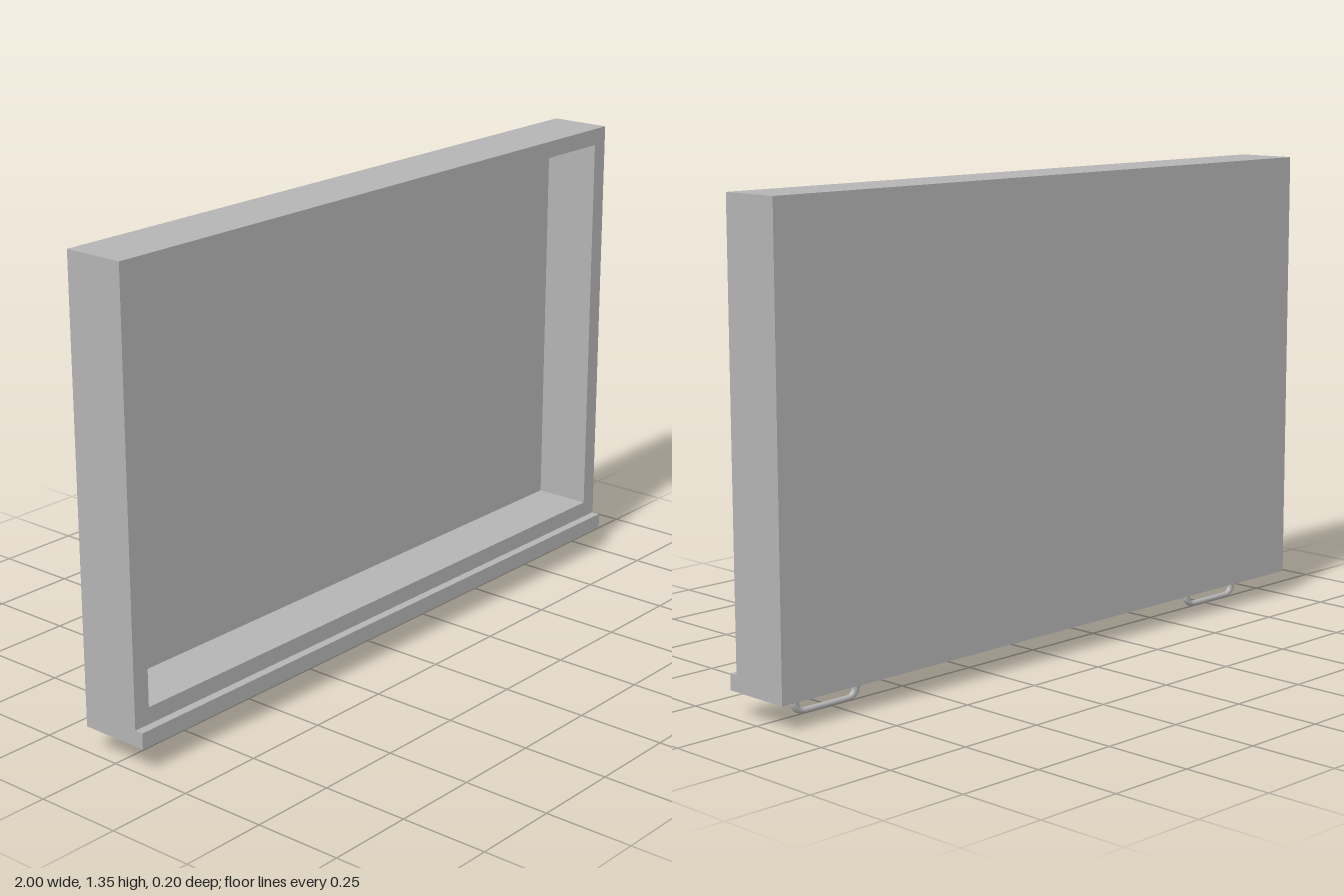
import * as THREE from 'three';

const grey = new THREE.MeshStandardMaterial({ color: 0xb4b4b4 });
grey.name = 'plain grey';

const BOTTOM = 0.073, TOP = 1.345;
const BACK = -0.102, RECESS = -0.089, FACE = 0.077, LIP = 0.102;

function addMesh(parent, name, geometry) {
  const mesh = new THREE.Mesh(geometry, grey);
  mesh.name = name;
  parent.add(mesh);
  return mesh;
}

// Box given by its two extreme corners
function boxBetween(x0, x1, y0, y1, z0, z1) {
  return new THREE.BoxGeometry(x1 - x0, y1 - y0, z1 - z0)
    .translate((x0 + x1) / 2, (y0 + y1) / 2, (z0 + z1) / 2);
}

function rectangle(target, x0, x1, y0, y1) {
  target.moveTo(x0, y0);
  target.lineTo(x1, y0);
  target.lineTo(x1, y1);
  target.lineTo(x0, y1);
  target.closePath();
  return target;
}

// U-shaped bar, built round and then widened along x
function handleGeometry() {
  const r = 0.008, widen = 1.6;
  const half = 0.105 / widen, bend = 0.035 / widen, rise = 0.03;
  const v = (x, y) => new THREE.Vector3(x, y, 0);
  const path = new THREE.CurvePath();
  path.add(new THREE.LineCurve3(v(-half, BOTTOM + 0.004), v(-half, r + rise)));
  path.add(new THREE.QuadraticBezierCurve3(v(-half, r + rise), v(-half, r), v(-half + bend, r)));
  path.add(new THREE.LineCurve3(v(-half + bend, r), v(half - bend, r)));
  path.add(new THREE.QuadraticBezierCurve3(v(half - bend, r), v(half, r), v(half, r + rise)));
  path.add(new THREE.LineCurve3(v(half, r + rise), v(half, BOTTOM + 0.004)));
  return new THREE.TubeGeometry(path, 48, r, 16).scale(widen, 1, 1);
}

export function createModel() {
  const model = new THREE.Group();
  model.name = 'openFrontCase';

  // Rim with a rectangular opening
  const outline = rectangle(new THREE.Shape(), -1, 1, BOTTOM, TOP);
  outline.holes.push(rectangle(new THREE.Path(), -0.95, 0.95, 0.165, 1.297));
  addMesh(model, 'frame', new THREE.ExtrudeGeometry(outline, {
    depth: FACE - RECESS, bevelEnabled: false,
  }).translate(0, 0, RECESS));

  // Thin back closing the recess
  addMesh(model, 'backPanel', boxBetween(-1, 1, BOTTOM, TOP, BACK, RECESS));

  // Ledge along the bottom of the front
  addMesh(model, 'frontLip', boxBetween(-1, 1, BOTTOM, 0.118, FACE, LIP));

  // Handles under the base
  const handle = handleGeometry();
  for (const side of [-1, 1]) {
    addMesh(model, side > 0 ? 'leftHandle' : 'rightHandle', handle).position.x = side * 0.77;
  }
  return model;
}
